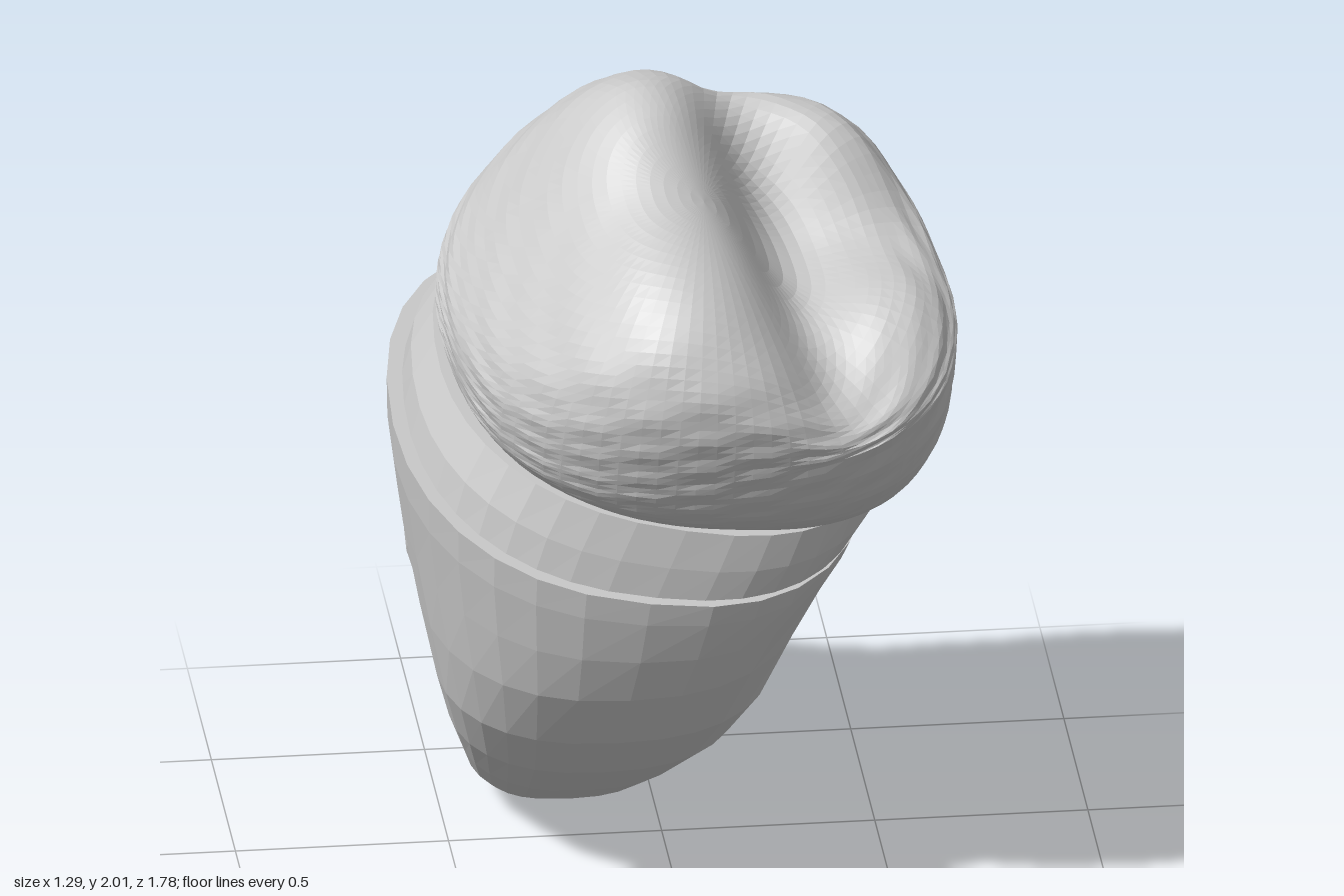
import * as THREE from 'three';

const material = new THREE.MeshStandardMaterial({ color: 0xcccccc, flatShading: true, roughness: 0.8 });

// Closed skin over rows of points, listed from top to bottom
function skin(name, rows) {
  const n = rows[0].length;
  const index = [];
  for (let r = 0; r < rows.length - 1; r++) {
    for (let i = 0; i < n; i++) {
      const j = (i + 1) % n, a = r * n, b = a + n;
      index.push(a + i, b + i, a + j, a + j, b + i, b + j);
    }
  }
  const geometry = new THREE.BufferGeometry().setFromPoints(rows.flat());
  geometry.setIndex(index);
  geometry.computeVertexNormals();
  const mesh = new THREE.Mesh(geometry, material);
  mesh.name = name;
  return mesh;
}

const signedPow = (v, e) => Math.sign(v) * Math.abs(v) ** e;

// Each section: front edge z, y, back edge z, y, right x, left x, sideways slope
function loft(name, sections, segments) {
  const rows = sections.map(([zf, yf, zb, yb, x0, x1, slope = 0]) => {
    const row = [];
    for (let i = 0; i < segments; i++) {
      const a = (i / segments) * Math.PI * 2;
      const c = signedPow(Math.cos(a), 0.9);
      const dx = signedPow(Math.sin(a), 0.84) * (x1 - x0) / 2;
      row.push(new THREE.Vector3(
        (x0 + x1) / 2 + dx,
        (yf + yb) / 2 + c * (yf - yb) / 2 - slope * dx,
        (zf + zb) / 2 + c * (zf - zb) / 2));
    }
    return row;
  });
  // Flat caps at both ends
  const cap = (row) => {
    const mid = row.reduce((sum, p) => sum.add(p), new THREE.Vector3()).divideScalar(row.length);
    return row.map(() => mid.clone());
  };
  return skin(name, [cap(rows[0]), ...rows, cap(rows[rows.length - 1])]);
}

// Cusps of the chewing surface: x, z, height, spread
const cusps = [
  [-0.15, -0.34, 0.12, 0.20],
  [-0.08, 0.25, 0.03, 0.15],
  [0.14, -0.47, 0.14, 0.11],
  [0.38, -0.40, 0.29, 0.17],
  [0.46, 0.20, 0.13, 0.15],
];

// One long high ridge beside a slanting groove, plus the cusps
function biteHeight(x, z) {
  const ridge = 0.33 * Math.exp(-((x + 0.14) ** 2) / 0.2) / (1 + Math.exp((x - 0.13 - 0.2 * z) / 0.045));
  return cusps.reduce(
    (h, [cx, cz, amp, w]) => h + amp * Math.exp(-((x - cx) ** 2 + (z - cz) ** 2) / (2 * w * w)), 0.08 + ridge);
}

// Squarish rounded crown, leaning forward
function makeCrown() {
  const rings = 60, segments = 84, rows = [];
  for (let r = 0; r <= rings; r++) {
    const phi = (r / rings) * Math.PI;
    const s = Math.sin(phi), c = Math.cos(phi);
    const row = [];
    for (let i = 0; i < segments; i++) {
      const a = (i / segments) * Math.PI * 2;
      const sa = Math.sin(a), ca = Math.cos(a);
      const p = c > 0 ? 3 : 3.1 - 0.5 * ca;
      const k = (Math.abs(s) ** p + Math.abs(c) ** p) ** (-1 / p);
      const q = s * k * (Math.abs(sa) ** 2.4 + Math.abs(ca) ** 2.4) ** (-1 / 2.4);
      const z = q * ca * 0.58 - 0.01;
      const x = q * sa * 0.58 + 0.12 * z;
      const ripple = 0.003 * s * Math.sin(23 * x + 5 * z) * Math.sin(19 * z + 31 * c);
      const v = c * k * (c > 0 ? biteHeight(x, z) : 0.38 + 0.34 * x);
      row.push(new THREE.Vector3(
        x + ripple * sa, 0.07 + 0.1 * z + 0.12 * x + v + ripple, z + ripple * ca));
    }
    rows.push(row);
  }
  const crown = skin('crown', rows);
  crown.position.set(0.05, 1.4, 0.27);
  crown.rotation.x = 0.41;
  return crown;
}

export function createModel() {
  const tooth = new THREE.Group();
  tooth.name = 'tooth';
  tooth.add(makeCrown());

  // Narrow band between crown and root
  tooth.add(loft('neck', [
    [0.61, 1.06, -0.31, 1.45, -0.55, 0.53, 0.2],
    [0.62, 0.97, -0.335, 1.38, -0.60, 0.50, 0.18],
    [0.62, 0.86, -0.36, 1.29, -0.63, 0.44, 0.15],
  ], 40));

  // Front half of the root, starting at the full rim
  tooth.add(loft('frontRoot', [
    [0.64, 0.89, -0.38, 1.34, -0.655, 0.46, 0.16],
    [0.63, 0.83, -0.42, 1.23, -0.65, 0.44, 0.12],
    [0.60, 0.72, -0.44, 1.06, -0.625, 0.39, 0.05],
    [0.55, 0.60, -0.32, 0.84, -0.59, 0.32],
    [0.44, 0.44, -0.15, 0.62, -0.55, 0.24],
    [0.30, 0.30, -0.20, 0.45, -0.51, 0.17],
    [0.10, 0.16, -0.29, 0.33, -0.47, 0.09],
    [-0.05, 0.07, -0.36, 0.22, -0.44, 0.03],
    [-0.17, 0.015, -0.41, 0.12, -0.40, -0.06],
    [-0.23, 0.00, -0.40, 0.075, -0.36, -0.11],
    [-0.28, 0.005, -0.37, 0.04, -0.29, -0.17],
  ], 30));

  // Back half of the root, parting from the front half lower down
  tooth.add(loft('backRoot', [
    [0.57, 0.86, -0.40, 1.28, -0.64, 0.44, 0.12],
    [0.49, 0.79, -0.44, 1.18, -0.63, 0.42, 0.08],
    [0.35, 0.70, -0.50, 1.03, -0.61, 0.36, 0.04],
    [0.14, 0.62, -0.57, 0.89, -0.58, 0.26],
    [-0.12, 0.55, -0.65, 0.77, -0.55, 0.14],
    [-0.36, 0.385, -0.76, 0.65, -0.54, 0.02],
    [-0.55, 0.29, -0.85, 0.53, -0.51, -0.08],
    [-0.70, 0.27, -0.885, 0.42, -0.47, -0.15],
    [-0.77, 0.28, -0.88, 0.37, -0.42, -0.21],
    [-0.81, 0.305, -0.86, 0.345, -0.36, -0.26],
  ], 30));
  return tooth;
}
